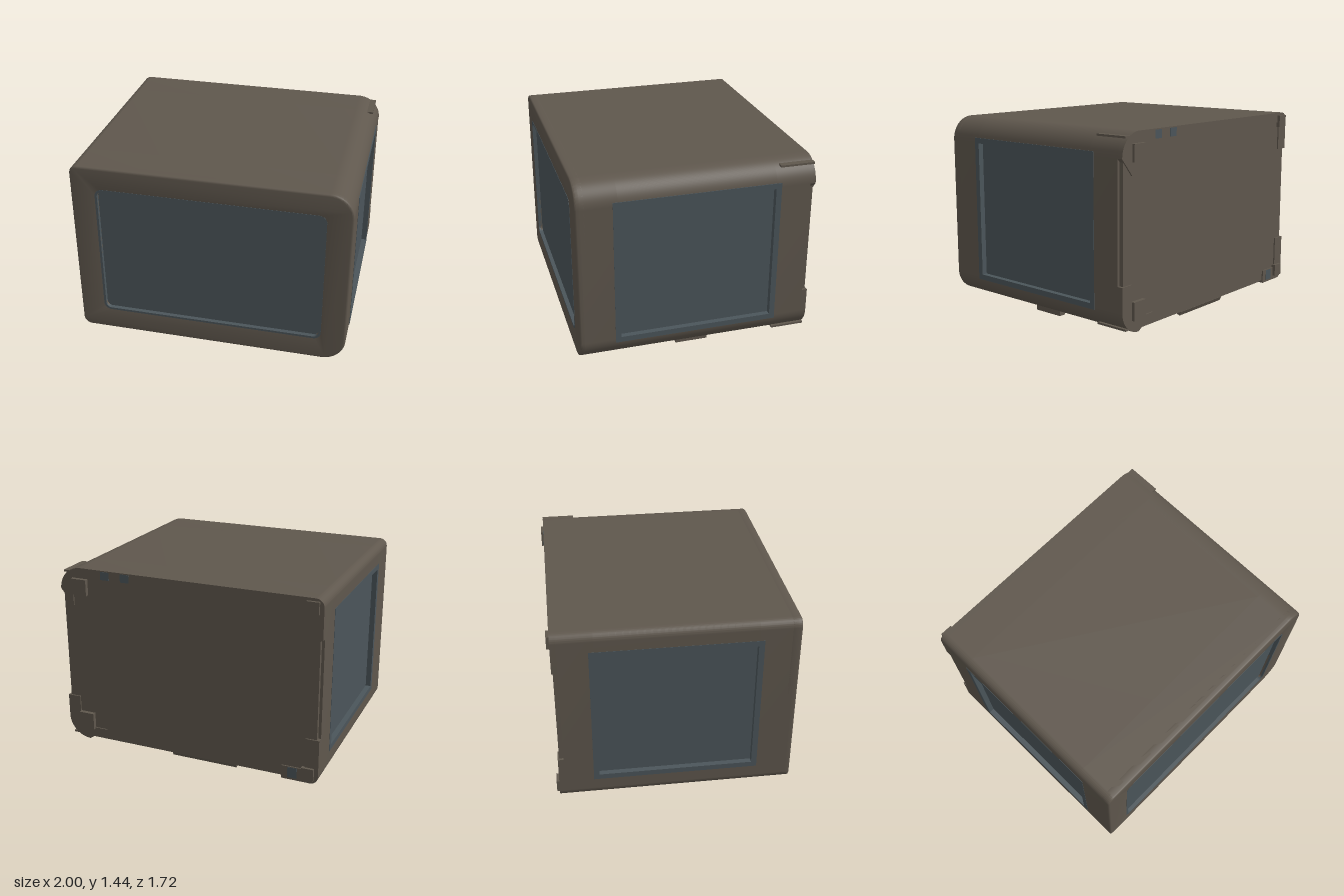
import * as THREE from 'three';
import { toCreasedNormals } from 'three/addons/utils/BufferGeometryUtils.js';

const bodyMat = new THREE.MeshStandardMaterial({ color: 0x5f574d });
bodyMat.name = 'warm grey casing';
const glassMat = new THREE.MeshStandardMaterial({ color: 0x4b555a });
glassMat.name = 'blue grey glass';

const Y0 = 0.08, Y1 = 1.44, PI = Math.PI;
const SMALL = 0.06, LARGE = 0.17;

// Case cross-section; notched leaves room for the side and bottom windows
function outline(inset = 0, notched = false) {
  const l = -1 + inset, r = 1 - inset, b = Y0 + inset, t = Y1 - inset;
  const s = SMALL - inset, g = LARGE - inset;
  const p = new THREE.Shape();
  p.moveTo(l + s, b);
  if (notched) [[-0.91, b], [-0.91, b + 0.05], [0.78, b + 0.05], [0.78, b]].forEach(q => p.lineTo(...q));
  p.absarc(r - g, b + g, g, -PI / 2, 0, false);
  if (notched) [[r, 0.25], [r - 0.05, 0.25], [r - 0.05, 1.27], [r, 1.27]].forEach(q => p.lineTo(...q));
  p.absarc(r - g, t - g, g, 0, PI / 2, false);
  p.absarc(l + s, t - s, s, PI / 2, PI, false);
  if (notched) [[l, 1.27], [l + 0.05, 1.27], [l + 0.05, 0.25], [l, 0.25]].forEach(q => p.lineTo(...q));
  p.absarc(l + s, b + s, s, PI, 1.5 * PI, false);
  return p;
}

// Centred rectangle path with rounded corners
function roundRect(path, w, h, r, cx = 0, cy = 0) {
  const x = w / 2, y = h / 2;
  if (r === 0) {
    path.moveTo(cx - x, cy - y);
    path.lineTo(cx + x, cy - y);
    path.lineTo(cx + x, cy + y);
    path.lineTo(cx - x, cy + y);
    path.closePath();
    return path;
  }
  path.moveTo(cx - x + r, cy - y);
  path.absarc(cx + x - r, cy - y + r, r, -PI / 2, 0, false);
  path.absarc(cx + x - r, cy + y - r, r, 0, PI / 2, false);
  path.absarc(cx - x + r, cy + y - r, r, PI / 2, PI, false);
  path.absarc(cx - x + r, cy - y + r, r, PI, 1.5 * PI, false);
  return path;
}

function extrude(parent, name, shape, mat, z0, z1, bevel = 0) {
  const geo = new THREE.ExtrudeGeometry(shape, {
    depth: z1 - z0 - 2 * bevel, curveSegments: 14,
    bevelEnabled: bevel > 0, bevelThickness: bevel, bevelSize: bevel,
    bevelOffset: -bevel, bevelSegments: 3,
  });
  geo.translate(0, 0, z0 + bevel);
  const mesh = new THREE.Mesh(toCreasedNormals(geo, 0.6), mat);
  mesh.name = name;
  parent.add(mesh);
  return mesh;
}

// Box given by its minimum and maximum corners
function box(parent, name, mat, [x0, y0, z0], [x1, y1, z1]) {
  const mesh = new THREE.Mesh(new THREE.BoxGeometry(x1 - x0, y1 - y0, z1 - z0), mat);
  mesh.position.set((x0 + x1) / 2, (y0 + y1) / 2, (z0 + z1) / 2);
  mesh.name = name;
  parent.add(mesh);
  return mesh;
}

// Recessed pane with a flush border, facing local +z
function makeWindow(name, w, h, border, depth, radius) {
  const g = new THREE.Group();
  g.name = name;
  const ring = roundRect(new THREE.Shape(), w + 2 * border, h + 2 * border, radius && radius + border);
  ring.holes.push(roundRect(new THREE.Path(), w, h, radius));
  extrude(g, name + 'Frame', ring, glassMat, -depth, 0.002);
  box(g, name + 'Pane', glassMat, [-w / 2 - 0.005, -h / 2 - 0.005, -depth - 0.006], [w / 2 + 0.005, h / 2 + 0.005, -depth + 0.002]);
  return g;
}

export function createModel() {
  const model = new THREE.Group();
  model.name = 'cabinet';

  // Casing in slices along z, with a bevelled front bezel
  extrude(model, 'rearCasing', outline(), bodyMat, -0.8, -0.555);
  extrude(model, 'middleCasing', outline(0, true), bodyMat, -0.555, 0.565);
  extrude(model, 'frontCasing', outline(), bodyMat, 0.565, 0.82);
  const bezel = outline();
  bezel.holes.push(roundRect(new THREE.Path(), 1.61, 1.0, 0.045, 0, 0.7625));
  extrude(model, 'frontBezel', bezel, bodyMat, 0.775, 0.855, 0.014);

  // Windows on the front, both sides and underside
  const front = makeWindow('frontWindow', 1.61, 0.995, 0.016, 0.03, 0.04);
  front.position.set(0, 0.7625, 0.855);
  model.add(front);
  for (const side of [1, -1]) {
    const win = makeWindow(side > 0 ? 'leftWindow' : 'rightWindow', 1.11, 1.0, 0.04, 0.04, 0);
    win.position.set(side, 0.76, 0.005);
    win.rotation.y = side * PI / 2;
    model.add(win);
  }
  const under = makeWindow('bottomWindow', 1.67, 1.11, 0.04, 0.04, 0);
  under.position.set(-0.065, Y0, 0.005);
  under.rotation.x = PI / 2;
  model.add(under);

  // Recessed back panel and the raised rim around it
  extrude(model, 'backPanel', outline(0.02), bodyMat, -0.83, -0.79);
  const top = new THREE.Shape();
  top.moveTo(1, 1.15);
  top.absarc(1 - LARGE, Y1 - LARGE, LARGE, 0, PI / 2, false);
  top.absarc(-1 + SMALL, Y1 - SMALL, SMALL, PI / 2, PI, false);
  [[-1, 1.15], [-0.9, 1.15], [-0.9, 1.365], [0.9, 1.365], [0.9, 1.15]].forEach(q => top.lineTo(...q));
  extrude(model, 'backTopRim', top, bodyMat, -0.84, -0.8);

  const cornerA = new THREE.Shape();
  cornerA.moveTo(0.68, Y0);
  cornerA.absarc(1 - LARGE, Y0 + LARGE, LARGE, -PI / 2, 0, false);
  [[1, 0.42], [0.9, 0.42], [0.9, 0.18], [0.68, 0.18]].forEach(q => cornerA.lineTo(...q));
  extrude(model, 'backLeftCorner', cornerA, bodyMat, -0.84, -0.8);

  const cornerB = new THREE.Shape();
  cornerB.moveTo(-0.73, Y0);
  [[-0.73, 0.18], [-0.9, 0.18], [-0.9, 0.42], [-1, 0.42]].forEach(q => cornerB.lineTo(...q));
  cornerB.absarc(-1 + SMALL, Y0 + SMALL, SMALL, PI, 1.5 * PI, false);
  extrude(model, 'backRightCorner', cornerB, bodyMat, -0.84, -0.8);

  // Small pads near the back corners
  [[0.78, 0.9, 1.24, 1.36], [0.78, 0.9, 0.17, 0.3], [-0.97, -0.88, 1.33, 1.42], [-0.97, -0.88, 0.11, 0.2]]
    .forEach(([x0, x1, y0, y1]) => box(model, 'backPad', bodyMat, [x0, y0, -0.86], [x1, y1, -0.82]));

  // Glass inlays on the rim
  [[0.63, 1.402, 0.06], [0.47, 1.402, 0.06], [-0.81, 0.135, 0.08]]
    .forEach(([x, y, h]) => box(model, 'rimInlay', glassMat, [x - 0.035, y - h / 2, -0.842], [x + 0.035, y + h / 2, -0.835]));

  // Hinge ribs on the large rounded edges
  for (const y of [1.407, 0.118]) box(model, 'hingeRib', bodyMat, [0.92, y - 0.007, -0.84], [0.967, y + 0.007, -0.59]);

  // Foot and tilted pull handle under the case
  box(model, 'foot', bodyMat, [0.81, 0.04, -0.12], [0.86, Y0 + 0.01, 0.12]);
  box(model, 'handleMount', bodyMat, [-0.32, 0.058, -0.69], [0.18, Y0 + 0.01, -0.59]);
  const handle = new THREE.Group();
  handle.name = 'handle';
  box(handle, 'handlePlate', bodyMat, [-0.26, -0.0165, -0.07], [0.26, 0.0165, 0.07]);
  box(handle, 'handleInlay', glassMat, [-0.25, -0.0185, -0.06], [0.25, -0.014, 0.06]);
  handle.position.set(-0.07, 0.045, -0.642);
  handle.rotation.x = -0.42;
  model.add(handle);

  return model;
}
